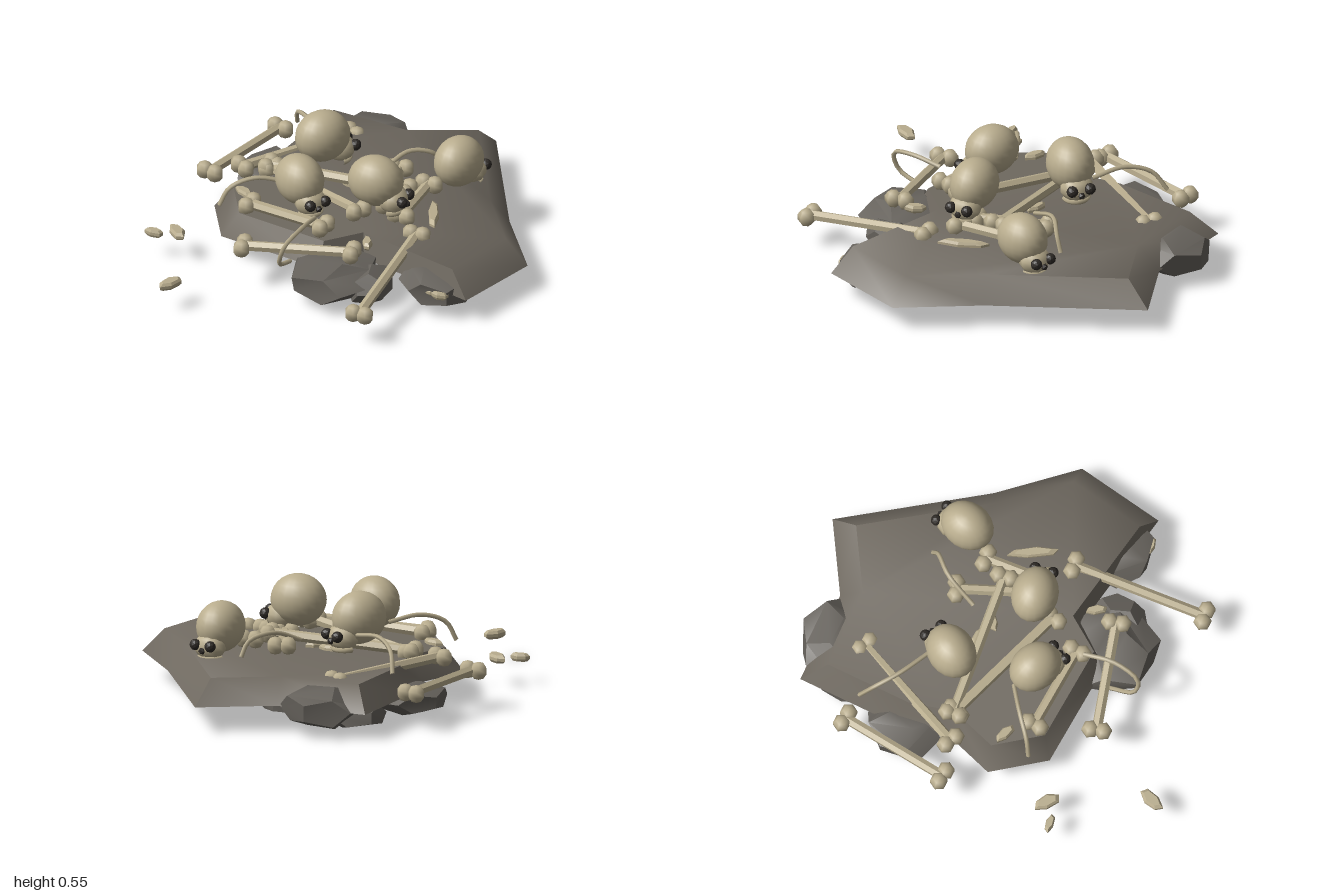
import * as THREE from 'three';
import { toCreasedNormals, mergeVertices } from 'three/addons/utils/BufferGeometryUtils.js';

const mat = (name, color) => {
  const m = new THREE.MeshStandardMaterial({ color });
  m.name = name;
  return m;
};
const V = (x, y, z) => new THREE.Vector3(x, y, z);
const flat = (g) => {
  const f = g.index ? g.toNonIndexed() : g;
  f.computeVertexNormals();
  return f;
};

export function createModel() {
  const model = new THREE.Group();
  model.name = 'bonePile';
  const slabMat = mat('slab stone', 0x6f6960);
  const rockMat = mat('dark rock', 0x66625c);
  const boneMat = mat('bone', 0xb9ad8e);
  const socketMat = mat('socket dark', 0x2d2925);

  const add = (parent, name, geo, material, pos) => {
    const m = new THREE.Mesh(geo, material);
    m.name = name;
    if (pos) m.position.copy(pos);
    parent.add(m);
    return m;
  };

  // Stone slab: irregular outline, top face drawn in to make a soft sloping rim
  const outline = [
    [0.12, -1], [0.57, -0.39], [0.86, -0.08], [0.79, 0.35], [0.18, 0.26], [0.05, 0.45],
    [-0.49, 0.43], [-0.67, 0.2], [-0.585, -0.06], [-0.65, -0.3], [-0.65, -0.78], [-0.2, -0.8],
  ];
  const slabShape = new THREE.Shape(outline.map(([x, z]) => new THREE.Vector2(x, -z)));
  const slab = new THREE.ExtrudeGeometry(slabShape, { depth: 0.115, bevelEnabled: false });
  slab.rotateX(-Math.PI / 2).translate(0, 0.13, 0);
  const sp = slab.attributes.position;
  for (let i = 0; i < sp.count; i++) {
    if (sp.getY(i) > 0.2) sp.setXYZ(i, sp.getX(i) * 0.87, sp.getY(i), sp.getZ(i) * 0.87);
  }
  add(model, 'slab', toCreasedNormals(slab, 0.92), slabMat);

  // Boulders under and around the slab: [x, y, z, rx, ry, rz]
  const rocks = [
    [-0.39, 0.13, -0.72, 0.19, 0.1, 0.18], [-0.63, 0.1, -0.26, 0.17, 0.075, 0.18],
    [0.13, 0.12, 0.44, 0.22, 0.095, 0.22], [0.58, 0.12, 0.26, 0.18, 0.09, 0.16],
    [0.3, 0.1, 0.4, 0.1, 0.08, 0.13], [0.36, 0.09, -0.16, 0.13, 0.065, 0.13],
    [-0.35, 0.085, -0.08, 0.16, 0.06, 0.13], [-0.16, 0.085, -0.46, 0.22, 0.08, 0.15],
    [-0.5, 0.09, -0.6, 0.16, 0.07, 0.14],
  ];
  rocks.forEach(([x, y, z, rx, ry, rz], k) => {
    let g = new THREE.DodecahedronGeometry(1, 0);
    g.deleteAttribute('uv');
    g.deleteAttribute('normal');
    g = mergeVertices(g.rotateY(k * 1.3));
    const p = g.attributes.position;
    for (let i = 0; i < p.count; i++) {
      const v = V().fromBufferAttribute(p, i);
      const s = 1.04 + 0.1 * Math.sin(v.x * 4.1 + k * 2.3) * Math.cos(v.z * 3.7 + v.y * 2 + k);
      p.setXYZ(i, v.x * s * rx, v.y * s * ry, v.z * s * rz);
    }
    add(model, 'rock', toCreasedNormals(g, 0.7), rockMat, V(x, y, z));
  });

  // Skulls face local +z: [x, y, z, facing x, facing z, scale]
  const skulls = [
    [0.295, 0.37, -0.39, 0.15, -1, 1], [-0.31, 0.43, -0.17, 0.5, -0.87, 1.03],
    [0.115, 0.425, 0.05, 1, -0.18, 1.02], [-0.2, 0.415, 0.21, 0.92, 0.39, 1],
  ];
  const ball = new THREE.SphereGeometry(1, 20, 14);
  for (const [x, y, z, fx, fz, s] of skulls) {
    const skull = new THREE.Group();
    skull.name = 'skull';
    skull.position.set(x, y, z);
    skull.rotation.y = Math.atan2(fx, fz);
    skull.scale.setScalar(s);
    add(skull, 'cranium', ball, boneMat).scale.set(0.107, 0.12, 0.13);
    add(skull, 'face', new THREE.SphereGeometry(1, 10, 7), boneMat, V(0, -0.078, 0.085)).scale.set(0.078, 0.062, 0.07);
    const jaw = new THREE.TorusGeometry(0.055, 0.013, 5, 10, Math.PI);
    add(skull, 'jaw', jaw.rotateX(Math.PI / 2), boneMat, V(0, -0.13, 0.075));
    for (const side of [-1, 1]) {
      add(skull, 'eyeSocket', flat(new THREE.IcosahedronGeometry(0.027, 1)), socketMat, V(side * 0.042, -0.065, 0.145));
    }
    add(skull, 'noseCavity', flat(new THREE.IcosahedronGeometry(0.017, 0)), socketMat, V(0, -0.09, 0.152));
    model.add(skull);
  }

  // Long bones: six-sided shaft with a pair of knuckles at each end
  const bones = [
    [-0.745, 0.185, -0.5, -0.8, 0.19, 0.03], [-0.395, 0.225, -0.575, -0.645, 0.245, -0.005],
    [-0.53, 0.27, -0.05, 0.17, 0.3, -0.135], [-0.51, 0.26, -0.045, 0.09, 0.31, 0.16],
    [-0.41, 0.27, 0.31, 0, 0.28, 0.325], [-0.285, 0.21, 0.57, 0.215, 0.25, 0.42],
    [0.38, 0.25, 0.12, 0.46, 0.155, 0.755], [0.02, 0.29, -0.31, 0.16, 0.28, 0],
    [0.215, 0.29, -0.255, 0.245, 0.27, 0.04],
  ];
  const knuckle = new THREE.SphereGeometry(0.043, 6, 5);
  for (const [ax, ay, az, bx, by, bz] of bones) {
    const a = V(ax, ay, az), b = V(bx, by, bz), dir = b.clone().sub(a);
    const bone = new THREE.Group();
    bone.name = 'longBone';
    const shaft = add(bone, 'shaft', flat(new THREE.CylinderGeometry(0.025, 0.025, dir.length(), 6)), boneMat,
      a.clone().add(b).multiplyScalar(0.5));
    shaft.quaternion.setFromUnitVectors(V(0, 1, 0), dir.clone().normalize());
    const across = V(-dir.z, 0, dir.x).normalize().multiplyScalar(0.03);
    for (const end of [a, b]) for (const side of [-1, 1]) {
      add(bone, 'knuckle', knuckle, boneMat, end.clone().addScaledVector(across, side));
    }
    model.add(bone);
  }

  // Ribs: thin arching tubes
  const ribs = [
    [[-0.64, 0.26, -0.48], [-0.6, 0.35, -0.42], [-0.5, 0.39, -0.34], [-0.35, 0.37, -0.27]],
    [[-0.55, 0.24, 0.35], [-0.51, 0.33, 0.32], [-0.42, 0.37, 0.24], [-0.3, 0.34, 0.15]],
    [[-0.06, 0.17, 0.52], [-0.045, 0.22, 0.64], [-0.015, 0.32, 0.645], [0, 0.36, 0.52], [-0.02, 0.34, 0.37]],
    [[0.14, 0.26, -0.49], [0.12, 0.33, -0.45], [0.04, 0.36, -0.36], [-0.02, 0.3, -0.2]],
  ];
  for (const pts of ribs) {
    const curve = new THREE.CatmullRomCurve3(pts.map((p) => V(...p)));
    add(model, 'rib', new THREE.TubeGeometry(curve, 14, 0.011, 5), boneMat);
  }

  // Bone chips with bevelled edges: [x, y, z, length, width, turn]
  const chips = [
    [-0.68, 0.135, 0.51, 0.13, 0.065, -0.7], [-0.77, 0.135, 0.57, 0.09, 0.04, 0.1],
    [-0.455, 0.135, 0.94, 0.13, 0.065, 1.2], [0.62, 0.135, 0.36, 0.1, 0.05, 0.3],
    [0.665, 0.135, 0.375, 0.08, 0.04, 0.2], [0.23, 0.25, 0.31, 0.1, 0.045, -1],
    [-0.505, 0.25, 0.205, 0.11, 0.05, -0.4], [-0.13, 0.25, -0.12, 0.11, 0.045, -0.2],
    [-0.04, 0.25, -0.09, 0.09, 0.045, 0.6], [0.35, 0.25, -0.08, 0.24, 0.05, -1.05],
  ];
  const chipShape = new THREE.Shape([[-0.5, -0.2], [-0.1, -0.5], [0.4, -0.35], [0.5, 0.15], [0.1, 0.5], [-0.35, 0.3]]
    .map(([x, y]) => new THREE.Vector2(x, y)));
  for (const [x, y, z, len, wid, turn] of chips) {
    const g = new THREE.ExtrudeGeometry(chipShape, {
      depth: 0.014, bevelThickness: 0.012, bevelSize: 0.12, bevelOffset: -0.12, bevelSegments: 1,
    });
    g.translate(0, 0, -0.007).scale(len, wid, 1).rotateX(-Math.PI / 2).rotateY(turn);
    add(model, 'boneChip', flat(g), boneMat, V(x, y, z));
  }
  return model;
}
